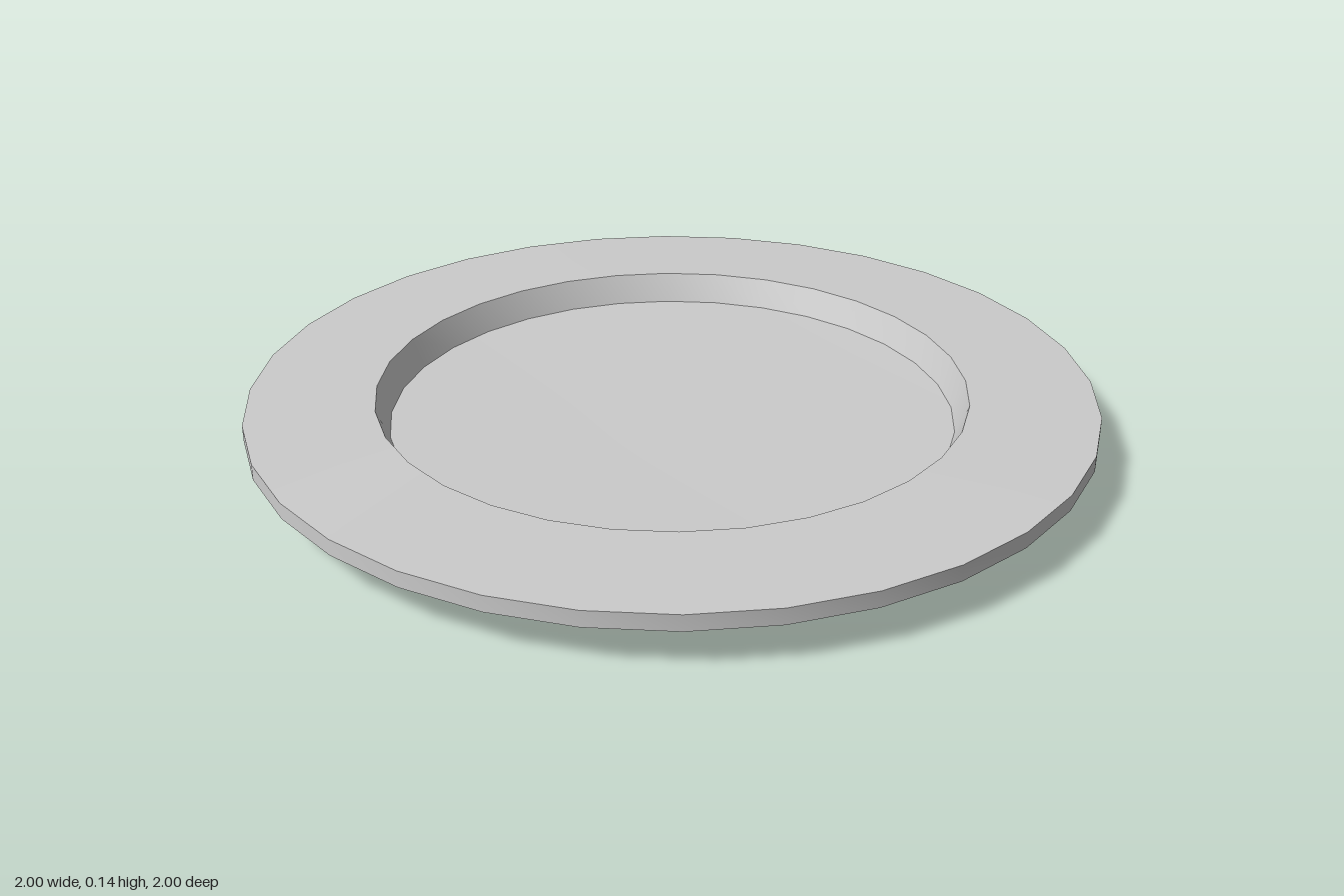
import * as THREE from 'three';
import { toCreasedNormals } from 'three/addons/utils/BufferGeometryUtils.js';

export function createModel() {
  const model = new THREE.Group();
  model.name = 'plate';

  // Closed cross-section as [radius, height], from underside centre to dish centre
  const profile = [
    [0, 0], [0.805, 0.013],     // slightly bulging base
    [0.85, 0.087],              // flared foot
    [1, 0.092], [1, 0.13],      // rim underside and edge
    [0.7, 0.135],               // gently sloping rim top
    [0.67, 0.065], [0, 0.052],  // well wall and shallow floor
  ].map(([r, y]) => new THREE.Vector2(r, y));

  const geometry = toCreasedNormals(new THREE.LatheGeometry(profile, 32), 0.5);
  const dish = new THREE.Mesh(geometry, new THREE.MeshStandardMaterial({ color: 0xcccccc }));
  dish.name = 'dish';
  model.add(dish);
  return model;
}
